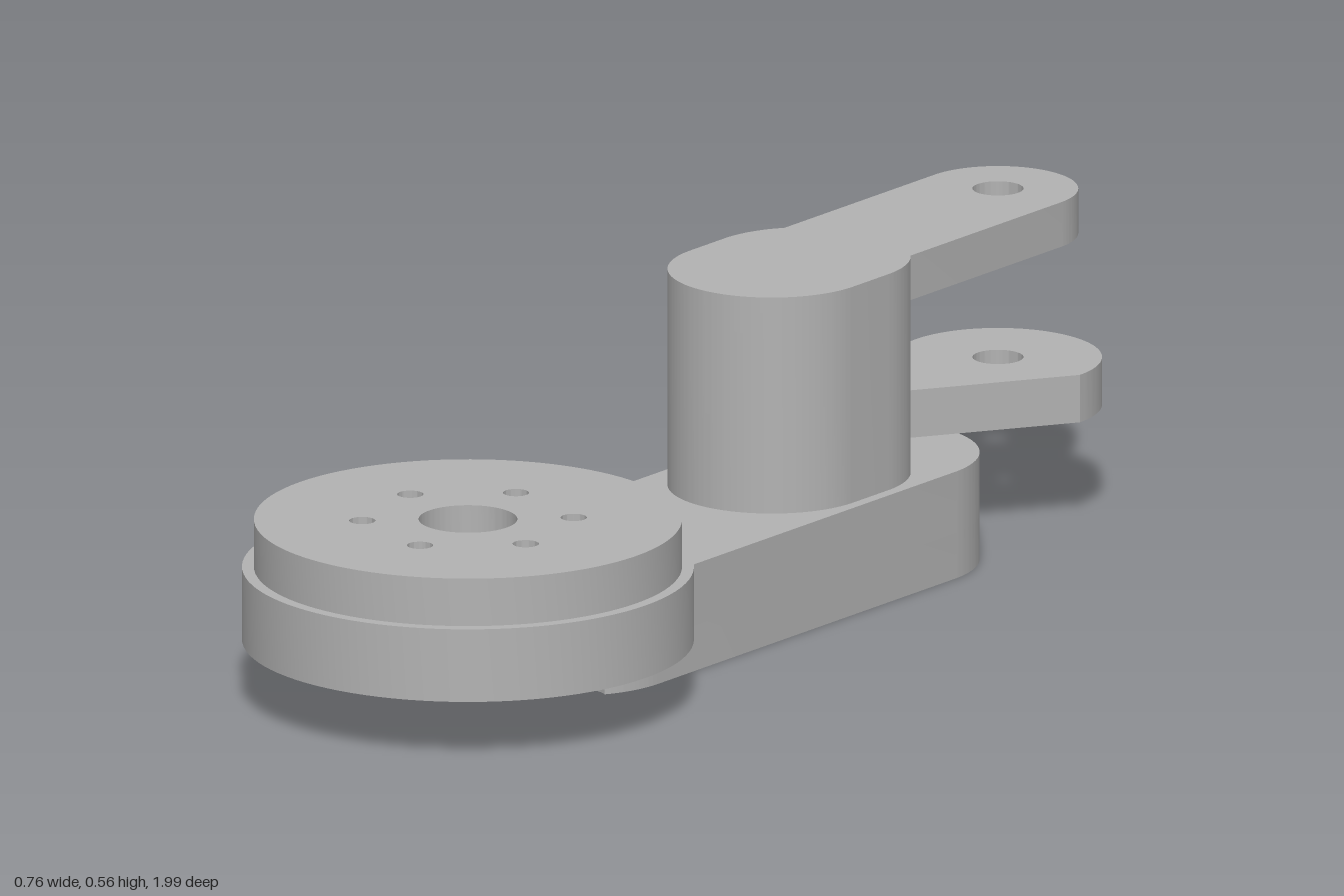
import * as THREE from 'three';
import { toCreasedNormals } from 'three/addons/utils/BufferGeometryUtils.js';

// Plan outlines use (x, v) with v = -z; every part is extruded upwards.
const PI = Math.PI;
const hub = { x: 0, y: -0.615 };       // disc axis
const armNose = { x: 0, y: -0.345 };   // front end of the arm
const armTail = { x: 0, y: 0.46 };     // rear end of the arm
const pin = { x: 0, y: 0.825 };        // fork pin axis
const ARM_R = 0.195, FORK_R = 0.175, CLEAR_R = 0.385, PAD_R = 0.317, SCREW_R = 0.055;

// six screw positions around the hub, slightly turned
const screws = [];
for (let i = 0; i < 6; i++) {
  const a = 1.767 + i * PI / 3;
  screws.push({ x: hub.x + 0.178 * Math.cos(a), y: hub.y + 0.178 * Math.sin(a) });
}

function arc(path, c, r, a0, a1, clockwise = false) {
  return path.absarc(c.x, c.y, r, a0, a1, clockwise);
}

function hole(shape, c, r) {
  shape.holes.push(arc(new THREE.Path(), c, r, 0, 2 * PI, true));
}

// elongated outline along v
function capsule(path, v0, v1, r) {
  arc(path, { x: 0, y: v1 }, r, 0, PI);
  arc(path, { x: 0, y: v0 }, r, PI, 2 * PI);
  path.closePath();
  return path;
}

// direction and half angle at which circle b cuts circle c
function meet(c, r, b, rb) {
  const dx = b.x - c.x, dy = b.y - c.y, d = Math.hypot(dx, dy);
  return [Math.atan2(dy, dx), Math.acos((d * d + r * r - rb * rb) / (2 * d * r))];
}

// nose arc of the arm with the screw clearance bitten out
function bittenNose(path, a0, a1) {
  const b = screws[5];
  const [dir, half] = meet(armNose, ARM_R, b, SCREW_R);
  const [back, bHalf] = meet(b, SCREW_R, armNose, ARM_R);
  arc(path, armNose, ARM_R, a0, 2 * PI + dir - half);
  arc(path, b, SCREW_R, back + bHalf, back - bHalf, true);
  arc(path, armNose, ARM_R, 2 * PI + dir + half, a1);
}

export function createModel() {
  const model = new THREE.Group();
  const grey = new THREE.MeshStandardMaterial({ color: 0xb2b2b2 });
  grey.name = 'plain grey';

  function add(name, shape, y0, y1) {
    let geo = new THREE.ExtrudeGeometry(shape, { depth: y1 - y0, bevelEnabled: false, curveSegments: 48 });
    geo.rotateX(-PI / 2);
    geo = toCreasedNormals(geo, 0.5);
    const mesh = new THREE.Mesh(geo, grey);
    mesh.name = name;
    mesh.position.y = y0;
    model.add(mesh);
  }

  // stepped disc with centre bore and six screw holes
  for (const [name, r, y0, y1] of [['discRim', 0.38, 0.105, 0.232], ['discTop', 0.36, 0.232, 0.315]]) {
    const disc = arc(new THREE.Shape(), hub, r, 0, 2 * PI);
    hole(disc, hub, 0.083);
    screws.forEach((s) => hole(disc, s, 0.022));
    add(name, disc, y0, y1);
  }

  // arm underside with blind slot, screw hole and bitten nose
  const base = new THREE.Shape();
  arc(base, armTail, ARM_R, 0, PI);
  bittenNose(base, PI, 2 * PI);
  base.closePath();
  hole(base, screws[0], SCREW_R);
  base.holes.push(capsule(new THREE.Path(), -0.163, 0.163, 0.067));
  add('armBase', base, 0, 0.08);

  // raised arm, scooped out around the disc
  const body = new THREE.Shape();
  const a = Math.acos(ARM_R / CLEAR_R);
  arc(body, armTail, ARM_R, 0, PI);
  arc(body, hub, CLEAR_R, PI - a, a, true);
  body.closePath();
  add('armBody', body, 0.08, 0.187);

  // pad carrying the disc
  const pad = new THREE.Shape();
  const [hubDir, hubHalf] = meet(hub, PAD_R, armNose, ARM_R);
  const noseHalf = meet(armNose, ARM_R, hub, PAD_R)[1];
  arc(pad, hub, PAD_R, hubDir - hubHalf, hubDir + hubHalf);
  bittenNose(pad, 1.5 * PI - noseHalf, 1.5 * PI + noseHalf);
  pad.closePath();
  hole(pad, screws[0], SCREW_R);
  add('discPad', pad, 0.08, 0.105);

  // upright column
  add('column', capsule(new THREE.Shape(), 0.21, 0.305, FORK_R), 0.187, 0.565);

  // upper fork plate
  const upper = capsule(new THREE.Shape(), 0.305, pin.y, 0.135);
  hole(upper, pin, 0.043);
  add('upperFork', upper, 0.487, 0.565);

  // lower fork plate with a round bite in its right edge
  const bite = { x: -0.21, y: 0.63 }, biteR = 0.12;
  const [dir, half] = meet(pin, FORK_R, bite, biteR);
  const [back, bHalf] = meet(bite, biteR, pin, FORK_R);
  const lower = new THREE.Shape();
  lower.moveTo(FORK_R, 0.3);
  arc(lower, pin, FORK_R, 0, dir + 2 * PI - half);
  arc(lower, bite, biteR, back + bHalf, -Math.acos((-FORK_R - bite.x) / biteR), true);
  lower.lineTo(-FORK_R, 0.3);
  lower.closePath();
  hole(lower, pin, 0.043);
  add('lowerFork', lower, 0.187, 0.27);

  return model;
}
